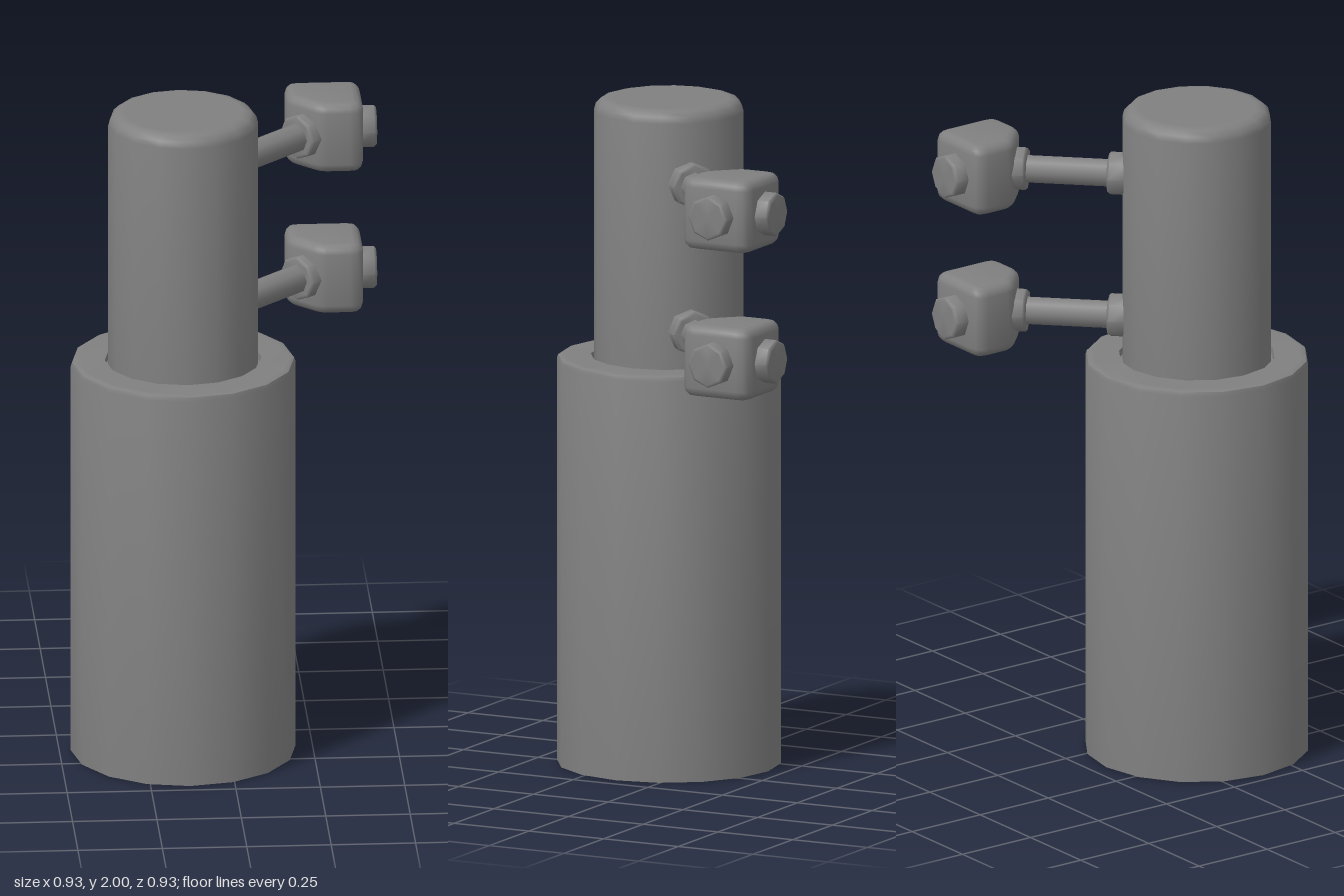
import * as THREE from 'three';
import { toCreasedNormals } from 'three/addons/utils/BufferGeometryUtils.js';

const color = 0x808080;
const material = new THREE.MeshStandardMaterial({ color });
const openMaterial = new THREE.MeshStandardMaterial({ color, side: THREE.DoubleSide });

function addMesh(parent, name, geometry, mat = material) {
  const mesh = new THREE.Mesh(geometry, mat);
  mesh.name = name;
  parent.add(mesh);
  return mesh;
}

function lathe(profile, sides, crease = 0.9) {
  const points = profile.map(([r, y]) => new THREE.Vector2(r, y));
  return toCreasedNormals(new THREE.LatheGeometry(points, sides), crease);
}

// Round disc standing on y = 0 with a softened top rim and a flat face
function discGeometry(radius, height, bevel = 0.007) {
  return lathe([
    [radius, 0], [radius, height - bevel], [radius - bevel, height],
    [radius - 1.5 * bevel, height], [0, height],
  ], 8);
}

// Squared head with one corner cut away towards the pipe
function headGeometry() {
  const h = 0.112, r = 0.04, height = 0.216, bevel = 0.028;
  const s = new THREE.Shape();
  s.moveTo(-h, 0.005);
  s.quadraticCurveTo(-h, -0.02, -0.092, -0.04);
  s.lineTo(-0.04, -0.092);
  s.quadraticCurveTo(-0.02, -h, 0.005, -h);
  s.lineTo(h - r, -h);
  s.quadraticCurveTo(h, -h, h, -h + r);
  s.lineTo(h, h - r);
  s.quadraticCurveTo(h, h, h - r, h);
  s.lineTo(-h + r, h);
  s.quadraticCurveTo(-h, h, -h, h - r);
  s.closePath();
  const geometry = new THREE.ExtrudeGeometry(s, {
    depth: height - 2 * bevel, bevelThickness: bevel, bevelSize: bevel,
    bevelOffset: -bevel, bevelSegments: 3, curveSegments: 3,
  });
  geometry.translate(0, 0, -height / 2 + bevel);
  // The shape's y axis points to the back after the turn
  geometry.rotateX(-Math.PI / 2);
  return toCreasedNormals(geometry, 0.9);
}

// Outlet arm built along +x from the column axis, plus its head
function createOutlet(y) {
  const outlet = new THREE.Group();
  outlet.name = 'outlet';
  outlet.position.y = y;

  const arm = new THREE.Group();
  arm.name = 'arm';
  arm.rotation.y = Math.PI / 4;
  outlet.add(arm);

  const along = (name, geometry, x, dir = 1) => {
    const mesh = addMesh(arm, name, geometry);
    mesh.rotation.z = -dir * Math.PI / 2;
    mesh.position.x = x;
  };
  along('columnCollar', discGeometry(0.067, 0.062), 0.2);
  along('pipe', new THREE.CylinderGeometry(0.043, 0.043, 0.3, 8, 1, true), 0.39);
  along('headCollar', discGeometry(0.067, 0.065), 0.57, -1);

  const head = new THREE.Group();
  head.name = 'head';
  head.position.set(0.445, 0, -0.446);
  outlet.add(head);
  addMesh(head, 'headBody', headGeometry());
  const sideCap = addMesh(head, 'sideCap', discGeometry(0.066, 0.055));
  sideCap.rotation.z = -Math.PI / 2;
  sideCap.position.x = 0.1;
  const backCap = addMesh(head, 'backCap', discGeometry(0.066, 0.055));
  backCap.rotation.x = -Math.PI / 2;
  backCap.position.z = -0.1;
  return outlet;
}

export function createModel() {
  const model = new THREE.Group();
  model.name = 'standpipe';

  // Everything hangs on the column axis, which sits off centre
  const body = new THREE.Group();
  body.name = 'body';
  body.position.set(-0.133, 0, 0.133);
  model.add(body);

  // Wide base, open underneath, with a narrow groove round the upper column
  addMesh(body, 'base', lathe([
    [0.333, 0], [0.333, 1.208], [0.329, 1.22], [0.318, 1.224],
    [0.31, 1.224], [0.232, 1.224], [0.23, 1.205], [0.222, 1.205],
  ], 16, 0.7), openMaterial);

  // Narrow column with a rounded top edge
  const rim = [0, 1, 2, 3].map((i) => {
    const a = (i / 3) * Math.PI / 2;
    return [0.184 + 0.038 * Math.cos(a), 1.962 + 0.038 * Math.sin(a)];
  });
  addMesh(body, 'column', lathe([
    [0.222, 1.205], ...rim, [0.175, 2], [0, 2],
  ], 16, 0.7), openMaterial);

  for (const y of [1.336, 1.78]) body.add(createOutlet(y));
  return model;
}
